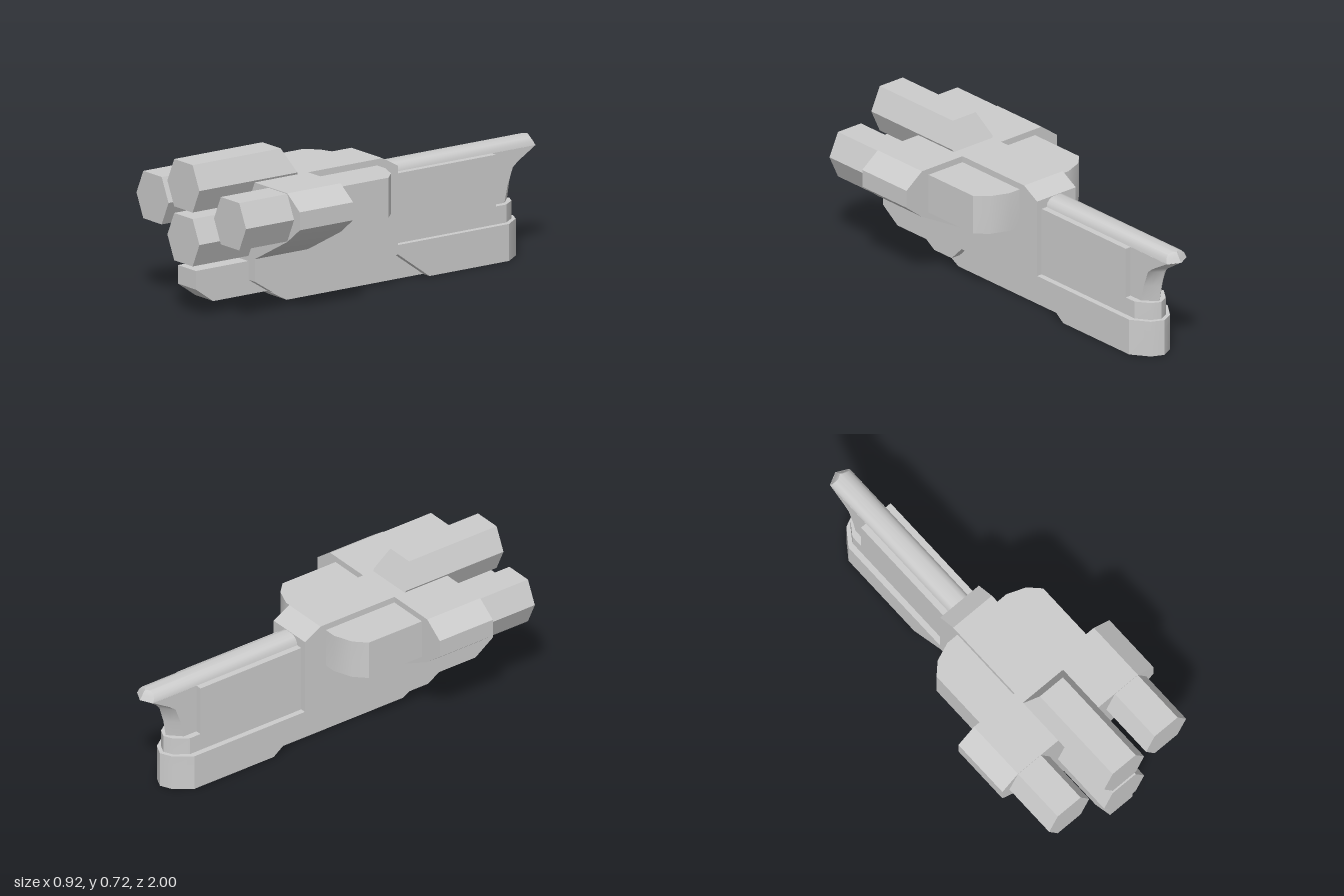
import * as THREE from 'three';
import { toCreasedNormals } from 'three/addons/utils/BufferGeometryUtils.js';

const material = new THREE.MeshStandardMaterial({ color: 0xcccccc });

// Skins closed convex rings (counter-clockwise seen from the direction of travel) and caps both ends.
function loft(rings) {
  const n = rings[0].length;
  const index = [];
  for (let r = 0; r < rings.length - 1; r++) {
    for (let j = 0; j < n; j++) {
      const k = (j + 1) % n;
      const a = r * n + j, b = r * n + k;
      index.push(a, b, b + n, a, b + n, a + n);
    }
  }
  const last = (rings.length - 1) * n;
  for (let j = 1; j < n - 1; j++) {
    index.push(0, j + 1, j, last, last + j, last + j + 1);
  }
  const geometry = new THREE.BufferGeometry();
  geometry.setAttribute('position', new THREE.Float32BufferAttribute(rings.flat(2), 3));
  geometry.setIndex(index);
  return toCreasedNormals(geometry, 0.55);
}

// Side outline of [z, y] points given thickness across x.
function sideSlab(points, halfWidth) {
  const shape = new THREE.Shape(points.map(([z, y]) => new THREE.Vector2(-z, y)));
  const geometry = new THREE.ExtrudeGeometry(shape, { depth: halfWidth * 2, bevelEnabled: false });
  return geometry.rotateY(Math.PI / 2).translate(-halfWidth, 0, 0);
}

// Horizontal section with a square front and a faceted rear.
function plan(y, w, front, shoulder, tip, midX = 0.5) {
  const midZ = shoulder + (tip - shoulder) * (midX === 0.5 ? 0.75 : 1 - midX);
  const half = [[w, front], [w, shoulder], [w * midX, midZ]];
  const ring = half.map(([x, z]) => [x, y, z]);
  ring.push([0, y, tip]);
  return ring.concat(half.reverse().map(([x, z]) => [-x, y, z]));
}

// Hexagonal section facing z; zAt gives the depth for each height offset.
function hexRing(cx, cy, zAt) {
  return [[0.122, 0], [0.07, 0.112], [-0.07, 0.112], [-0.122, 0], [-0.07, -0.112], [0.07, -0.112]]
    .map(([x, y]) => [cx + x, cy + y, zAt(y)]);
}

export function createModel() {
  const model = new THREE.Group();
  const add = (name, geometry) => {
    const mesh = new THREE.Mesh(geometry, material);
    mesh.name = name;
    model.add(mesh);
  };

  // Central hull and the narrow keel beneath it
  add('hull', sideSlab([[0.68, 0.6], [-0.05, 0.6], [-0.14, 0.55], [-0.14, 0.13],
    [0.38, 0.13], [0.45, 0.06], [0.57, 0.06], [0.68, 0.13]], 0.118));
  add('keel', sideSlab([[0.57, 0.15], [0.57, 0.06], [0.46, 0], [-0.33, 0], [-0.33, 0.15]], 0.068));

  // Wide shoulder block across the hull
  const right = [[0.118, 0.237], [0.365, 0.37], [0.46, 0.445], [0.46, 0.53], [0.365, 0.6]];
  const outline = right.concat(right.map(([x, y]) => [-x, y]).reverse());
  add('shoulderBlock', loft([0.375, 0.68].map(z => outline.map(([x, y]) => [x, y, z]))));

  // Side pods with faceted rear corners
  const podHalf = [[0.325, 0.4], [0.325, 0.07], [0.27, 0.015], [0.18, -0.02]];
  const pod = podHalf.concat(podHalf.map(([x, z]) => [-x, z]).reverse());
  add('sidePods', loft([0.38, 0.57].map(y => pod.map(([x, z]) => [x, y, z]))));

  // Front barrels
  for (const side of [1, -1]) {
    add(side > 0 ? 'leftBarrel' : 'rightBarrel',
      loft([hexRing(side * 0.295, 0.485, () => 0.6), hexRing(side * 0.295, 0.485, () => 0.955)]));
  }
  add('middleBarrel', loft([hexRing(0, 0.355, () => 0.6), hexRing(0, 0.355, () => 1)]));
  add('topBarrel', loft([hexRing(0, 0.61, y => 0.44 + y * 0.5), hexRing(0, 0.61, () => 1)]));
  add('lowerBarrel', sideSlab([[0.98, 0.218], [0.5, 0.218], [0.5, 0.06], [0.88, 0.06], [0.98, 0.13]], 0.068));

  // Rear foot with a sloped front underside
  add('rearFoot', loft([
    plan(0, 0.118, -0.32, -0.775, -0.885),
    plan(0.13, 0.118, -0.14, -0.775, -0.885),
    plan(0.175, 0.118, -0.14, -0.775, -0.885),
  ]));

  // Tail panel and the collar behind it
  add('tailPanel', new THREE.BoxGeometry(0.18, 0.345, 0.6).translate(0, 0.3325, -0.42));
  add('tailCollar', loft([0.17, 0.26].map(y => plan(y, 0.09, -0.7, -0.78, -0.865))));

  // Flared tail post
  add('tailPost', loft([
    [0.25, -0.79, -0.85], [0.34, -0.81, -0.865], [0.42, -0.84, -0.888],
    [0.445, -0.87, -0.91], [0.475, -0.92, -0.955], [0.505, -0.97, -1],
  ].map(([y, shoulder, tip]) => plan(y, 0.06, -0.7, shoulder, tip, 0.51))));

  // Rounded top rail
  add('topRail', loft([
    [0.503, 0.06, -0.97, -1], [0.525, 0.055, -0.96, -0.986],
    [0.541, 0.04, -0.955, -0.976], [0.548, 0.02, -0.955, -0.97],
  ].map(([y, w, shoulder, tip]) => plan(y, w, -0.12, shoulder, tip, 0.51))));

  return model;
}
